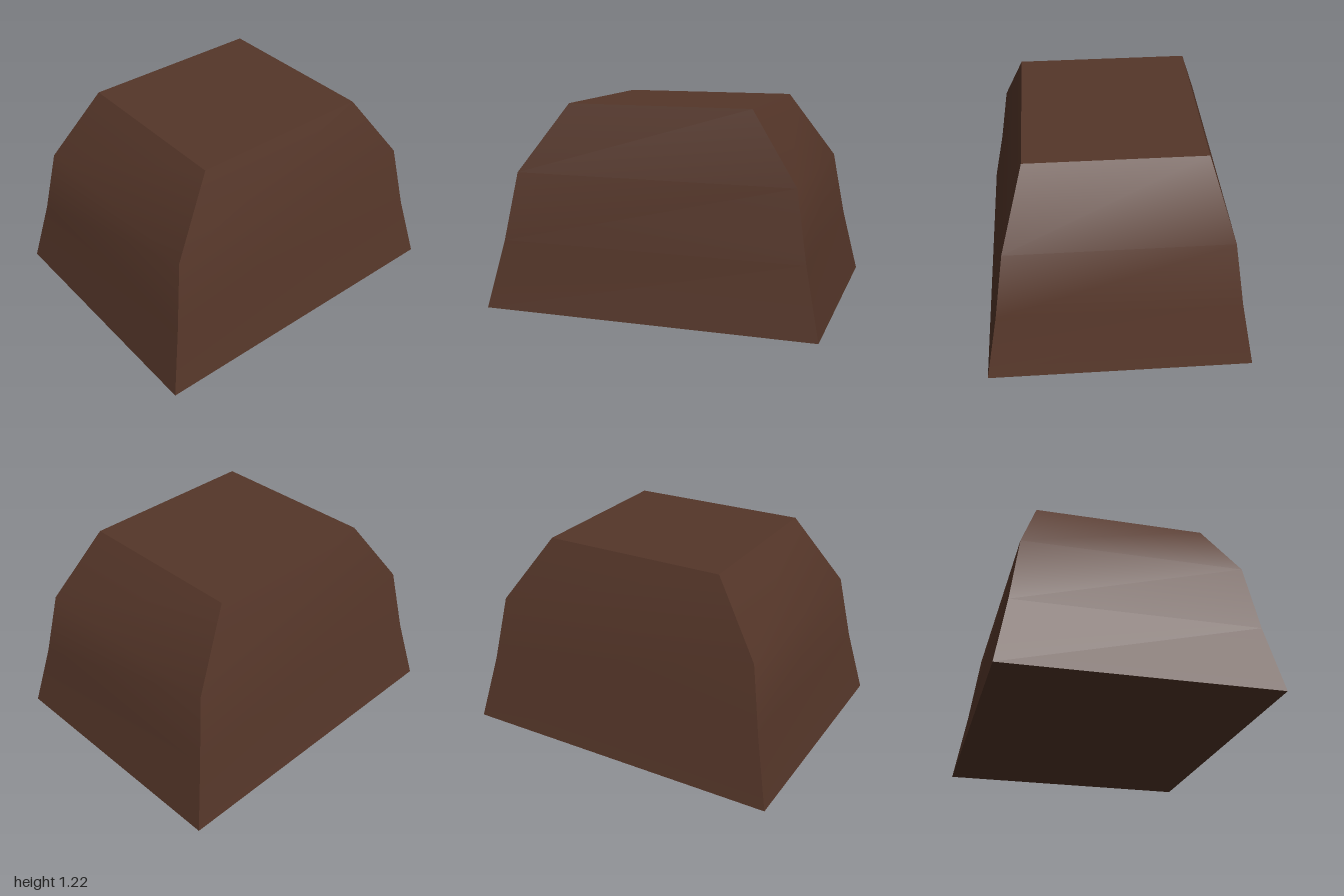
import * as THREE from 'three';

// Half-width and half-depth at each of the four evenly spaced levels, bottom to top
const HEIGHT = 1.22;
const LEVELS = [
  [0.785, 1.0],
  [0.71, 0.91],
  [0.65, 0.84],
  [0.52, 0.555],
];

export function createModel() {
  const group = new THREE.Group();
  group.name = 'taperedBlock';

  // Box in three tiers, each level scaled to its own rectangle
  const steps = LEVELS.length - 1;
  const geometry = new THREE.BoxGeometry(2, HEIGHT, 2, 1, steps, 1);
  geometry.translate(0, HEIGHT / 2, 0);
  const pos = geometry.attributes.position;
  for (let i = 0; i < pos.count; i++) {
    const [halfX, halfZ] = LEVELS[Math.round((pos.getY(i) / HEIGHT) * steps)];
    pos.setX(i, Math.sign(pos.getX(i)) * halfX);
    pos.setZ(i, Math.sign(pos.getZ(i)) * halfZ);
  }
  // Each side shades smoothly up its height, corners stay sharp
  geometry.computeVertexNormals();

  const body = new THREE.Mesh(geometry, new THREE.MeshStandardMaterial({ color: 0x553629 }));
  body.name = 'body';
  group.add(body);
  return group;
}
